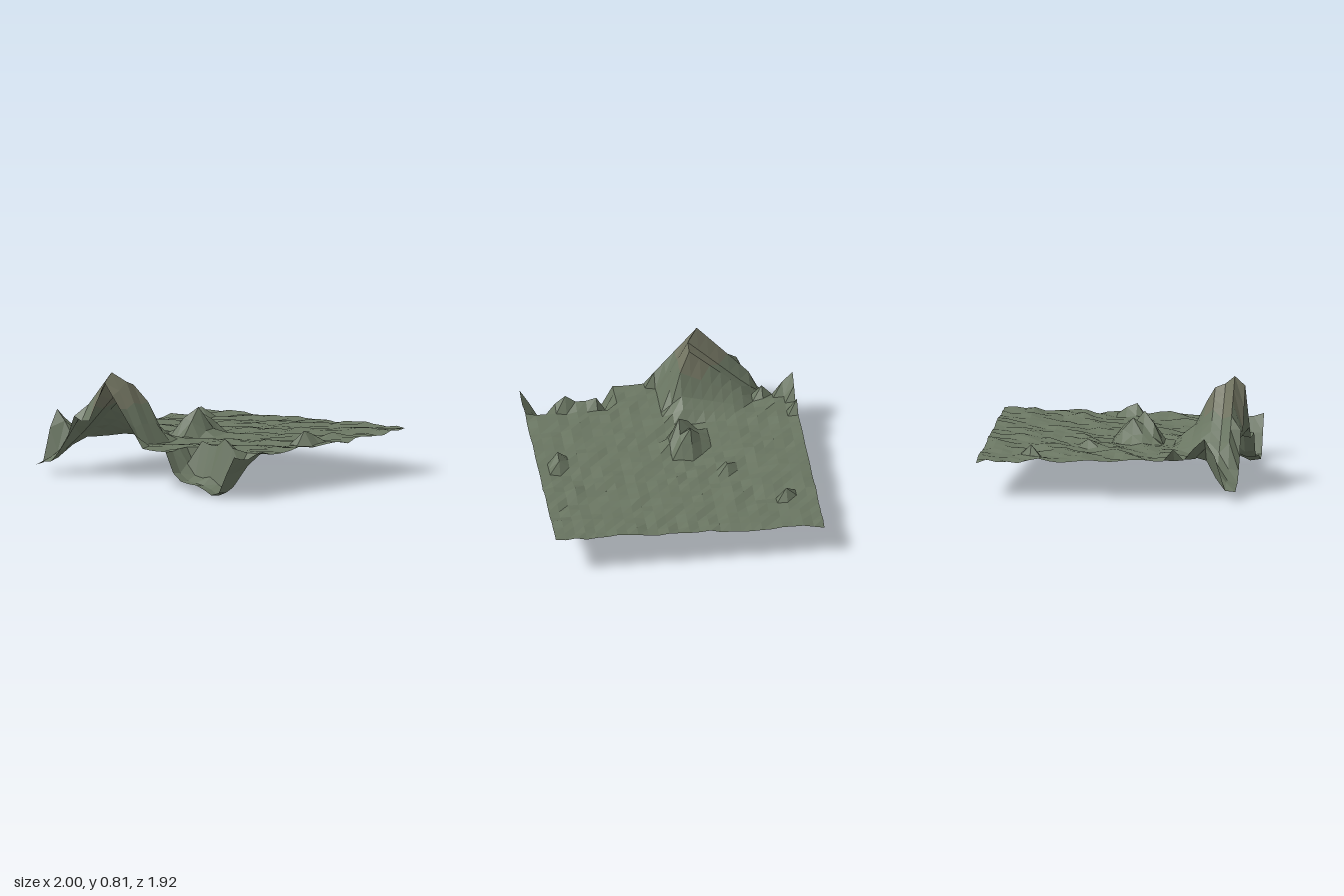
import * as THREE from 'three';

const NX = 26, NZ = 25, S = 1 / 13, BASE = 0.29;

// Mountain cross-sections from the front edge back: height, summit column, left and right reach in cells
const mountain = [
  [0.74, 9, 3, 5], [0.81, 9, 6, 4], [0.74, 10, 6, 3], [0.71, 10, 6, 3],
  [0.58, 11, 7, 2], [0.42, 11, 6, 2], [0.36, 11, 5, 2],
];

// Hollows in the front edge: first column, floor heights across, share of the depth in each row going back
const hollows = [
  { first: 0, floor: [0.06, 0.09, 0.1, 0.18], rows: [1, 0.9, 0.25] },
  { first: 18, floor: [0.13, 0.08, 0.07, 0.06, 0.04, 0, 0.03, 0.18], rows: [0.97, 1, 0.75, 0.15] },
];

// Single raised corners: column, row, height
const mounds = [
  [5, 25, 0.46], [6, 25, 0.43], [0, 22, 0.45], [1, 22, 0.37], [3, 22, 0.35], [0, 21, 0.38], [0, 19, 0.37],
  [12, 15, 0.5], [11, 14, 0.46], [12, 14, 0.41], [11, 16, 0.42], [12, 16, 0.4], [11, 15, 0.41],
  [10, 15, 0.35], [10, 16, 0.33], [10, 14, 0.34], [13, 14, 0.34], [13, 15, 0.33], [11, 13, 0.37], [12, 13, 0.39],
  [3, 5, 0.35], [8, 10, 0.335], [24, 13, 0.4], [24, 12, 0.37], [23, 8, 0.34],
];

// Repeatable ripple value in -1..1 for a grid corner
function noise(i, k) {
  const s = Math.sin(i * 127.1 + k * 311.7) * 43758.5453;
  return (s - Math.floor(s)) * 2 - 1;
}

function heightAt(i, k) {
  const back = NZ - k, x = i * S - 1;
  // Gently rippled plain, tilted up to the right, more so at the back
  let y = 0.291 + 0.012 * noise(i, k) + 0.008 * Math.sin(i * 0.7 + k * 1.3);
  y += x * (0.014 + 0.025 * Math.max(0, 1 - k / 10));

  if (back < mountain.length) {
    const [top, column, left, right] = mountain[back];
    const t = 1 - Math.abs(i - column) / (i < column ? left : right);
    if (t > 0) y = Math.max(y, BASE + (top - BASE) * t);
  }
  // Rugged walls: the depth varies wherever the hollow is not at its deepest
  for (const { first, floor, rows } of hollows) {
    const bottom = floor[i - first];
    if (bottom === undefined || back >= rows.length) continue;
    const share = rows[back] + (1 - rows[back]) * 0.8 * noise(k, i);
    y += (bottom - y) * share;
  }
  const mound = mounds.find(([mi, mk]) => mi === i && mk === k);
  return mound ? mound[2] : y;
}

export function createModel() {
  const group = new THREE.Group();
  group.name = 'terrain';
  const ground = [], peak = [];
  const corner = (i, k) => [(i - NX / 2) * S, heightAt(i, k), (k - NZ / 2) * S];

  // Two triangles per cell, the high ones going to the rocky peak
  const add = (a, b, c) => {
    const mean = (a[1] + b[1] + c[1]) / 3;
    (mean > 0.55 ? peak : ground).push(...a, ...b, ...c);
  };
  for (let k = 0; k < NZ; k++) {
    for (let i = 0; i < NX; i++) {
      const a = corner(i, k), b = corner(i, k + 1), c = corner(i + 1, k + 1), d = corner(i + 1, k);
      add(a, b, d);
      add(b, c, d);
    }
  }

  const addSheet = (name, points, color) => {
    const geo = new THREE.BufferGeometry();
    geo.setAttribute('position', new THREE.Float32BufferAttribute(points, 3));
    geo.computeVertexNormals();
    const mat = new THREE.MeshStandardMaterial({ color, flatShading: true, side: THREE.DoubleSide });
    const mesh = new THREE.Mesh(geo, mat);
    mesh.name = name;
    group.add(mesh);
  };
  addSheet('ground', ground, 0x6a7662);
  addSheet('mountainPeak', peak, 0x737562);
  return group;
}
